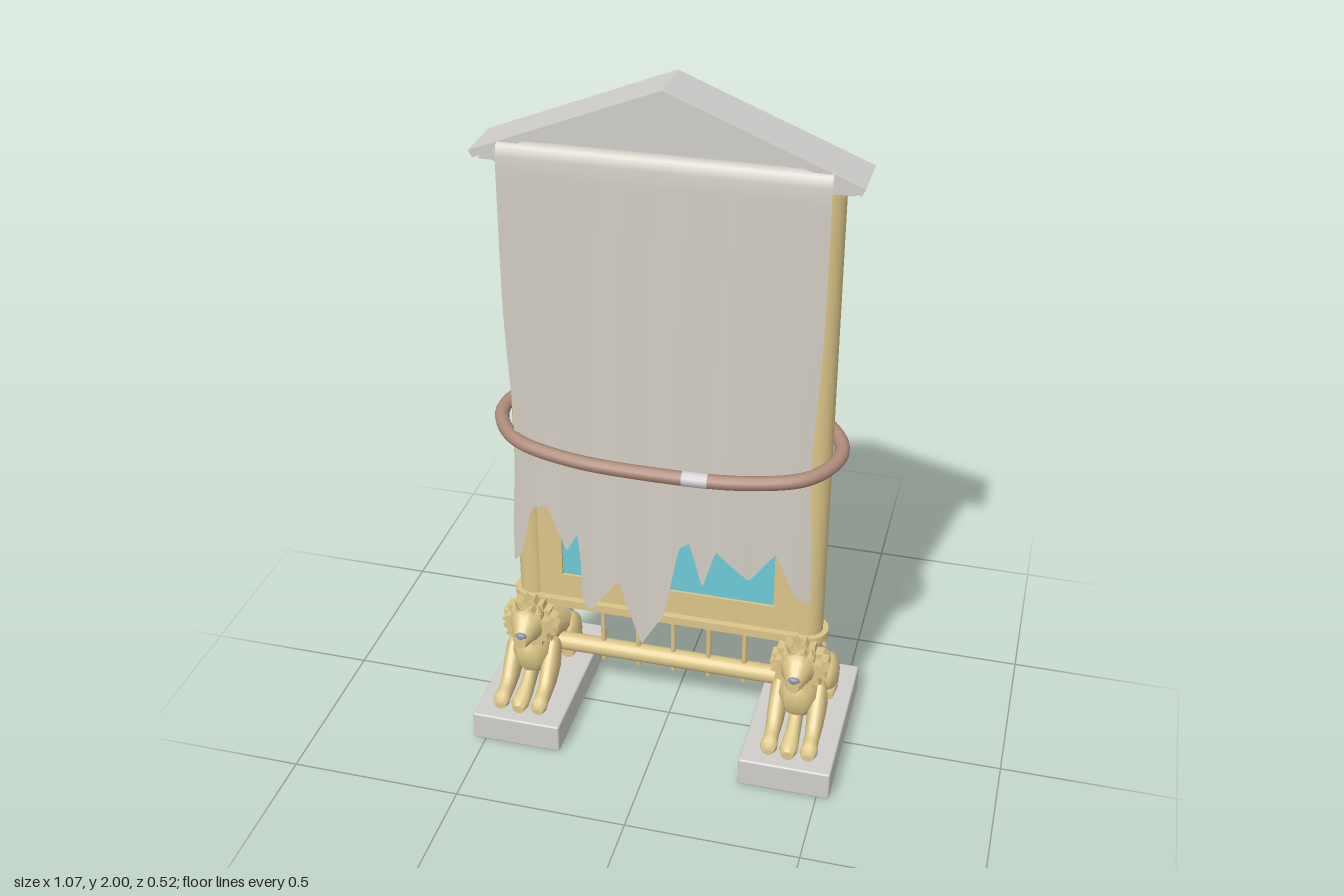
import * as THREE from 'three';
import { RoundedBoxGeometry } from 'three/addons/geometries/RoundedBoxGeometry.js';
import { toCreasedNormals } from 'three/addons/utils/BufferGeometryUtils.js';

const mat = (name, color, side = THREE.FrontSide) => {
  const m = new THREE.MeshStandardMaterial({ color, side });
  m.name = name;
  return m;
};

export function createModel() {
  const root = new THREE.Group();
  root.name = 'drapedMirror';
  const gold = mat('gold', 0xdbc587);
  const stone = mat('stone', 0xcfcecb);
  const linen = mat('linen', 0xd0cbc2, THREE.DoubleSide);
  const ropeBrown = mat('ropeBrown', 0xab8877);
  const glass = mat('glass', 0x6ccad6);
  const backing = mat('backing', 0x8a90a4);

  const add = (parent, name, geo, m, x = 0, y = 0, z = 0) => {
    const mesh = new THREE.Mesh(geo, m);
    mesh.name = name;
    mesh.position.set(x, y, z);
    parent.add(mesh);
    return mesh;
  };
  const box = (w, h, d) => new THREE.BoxGeometry(w, h, d);
  const cyl = (r, h, n = 20) => new THREE.CylinderGeometry(r, r, h, n);
  const poly = (pts) => new THREE.Shape(pts.map(p => new THREE.Vector2(...p)));
  const slab = (shape, z0, z1) =>
    new THREE.ExtrudeGeometry(shape, { depth: z1 - z0, bevelEnabled: false }).translate(0, 0, z0);

  // indexed surface from a grid of points
  const grid = (rows, cols, point) => {
    const pos = [], idx = [];
    for (let i = 0; i < rows; i++) for (let j = 0; j < cols; j++) pos.push(...point(i, j));
    for (let i = 0; i < rows - 1; i++) for (let j = 0; j < cols - 1; j++) {
      const a = i * cols + j, b = a + 1, c = b + cols, d = a + cols;
      idx.push(a, b, d, b, c, d);
    }
    const g = new THREE.BufferGeometry();
    g.setAttribute('position', new THREE.Float32BufferAttribute(pos, 3));
    g.setIndex(idx);
    g.computeVertexNormals();
    return g;
  };
  // elliptical sections [z, y, rx, ry] joined along z, closed to a point at both ends
  const loft = (sections, n = 14) => {
    const first = sections[0], last = sections[sections.length - 1];
    const s = [[first[0], first[1], 0, 0], ...sections, [last[0], last[1], 0, 0]];
    return toCreasedNormals(grid(s.length, n + 1, (i, j) => {
      const a = j / n * Math.PI * 2, [z, y, rx, ry] = s[i];
      return [rx * Math.cos(a), y + ry * Math.sin(a), z];
    }), 0.9);
  };

  // pediment: stepped chevron roof over a recessed triangle
  const roof = new THREE.Group();
  roof.name = 'pediment';
  root.add(roof);
  add(roof, 'roofSlab', slab(poly([[-0.51, 1.797], [-0.5, 1.778], [0, 1.978], [0.5, 1.778], [0.51, 1.797], [0, 2]]), -0.087, 0.072), stone);
  add(roof, 'roofMoulding', slab(poly([[-0.49, 1.782], [-0.46, 1.772], [0, 1.958], [0.46, 1.772], [0.49, 1.782], [0, 1.98]]), -0.078, 0.063), stone);
  add(roof, 'tympanum', slab(poly([[-0.46, 1.78], [0.46, 1.78], [0, 1.962]]), -0.05, 0.035), stone);

  // mirror frame with glass in front and backing behind
  const frame = poly([[-0.41, 0.38], [0.41, 0.38], [0.41, 1.78], [-0.41, 1.78]]);
  frame.holes.push(poly([[-0.315, 0.48], [-0.315, 1.68], [0.315, 1.68], [0.315, 0.48]]));
  add(root, 'frame', slab(frame, -0.035, 0.03), gold);
  add(root, 'glass', box(0.64, 1.21, 0.008), glass, 0, 1.08, 0.018);
  add(root, 'backing', box(0.64, 1.21, 0.008), backing, 0, 1.08, -0.024);
  add(root, 'ledge', box(0.84, 0.02, 0.11), gold, 0, 0.392, -0.005);
  add(root, 'ledgeMoulding', box(0.82, 0.014, 0.09), gold, 0, 0.376, -0.005);

  // lower rail with spindles
  const rail = add(root, 'rail', cyl(0.028, 0.72), gold, 0, 0.172, -0.05);
  rail.rotation.z = Math.PI / 2;
  for (let i = -2; i <= 2; i++) add(root, 'spindle', cyl(0.008, 0.2, 8), gold, i * 0.109, 0.228, -0.05);

  // spiked outline for the mane
  const mane = (r0, r1, n) => {
    const pts = [];
    for (let i = 0; i < n * 2; i++) {
      const a = i / n * Math.PI, r = i % 2 ? r0 : r1;
      pts.push([r * Math.cos(a), 0.325 + r * Math.sin(a)]);
    }
    return poly(pts);
  };

  const makeLion = () => {
    const lion = new THREE.Group();
    lion.name = 'lion';
    add(lion, 'rump', loft([[-0.195, 0.17, 0.03, 0.025], [-0.18, 0.165, 0.062, 0.05],
      [-0.13, 0.178, 0.077, 0.068]]), stone);
    add(lion, 'body', loft([[-0.135, 0.177, 0.075, 0.066], [-0.09, 0.2, 0.066, 0.062], [-0.04, 0.222, 0.056, 0.05],
      [0.01, 0.223, 0.054, 0.05], [0.05, 0.225, 0.06, 0.075], [0.09, 0.22, 0.055, 0.075], [0.12, 0.22, 0.03, 0.045]]), gold);
    // neck and head
    add(lion, 'head', loft([[0.02, 0.3, 0.03, 0.04], [0.06, 0.32, 0.06, 0.065], [0.11, 0.335, 0.05, 0.055],
      [0.132, 0.33, 0.036, 0.045], [0.15, 0.32, 0.027, 0.033], [0.17, 0.315, 0.017, 0.022]]), gold);
    add(lion, 'maneBack', slab(mane(0.07, 0.086, 18), 0.05, 0.085), gold);
    add(lion, 'maneFront', slab(mane(0.06, 0.073, 14), 0.085, 0.112), gold);
    add(lion, 'nose', new THREE.SphereGeometry(0.016, 10, 8).scale(1.1, 0.7, 0.6), backing, 0, 0.334, 0.163);
    // forelegs stretched forward, hind legs folded
    for (const s of [-1, 1]) {
      add(lion, 'foreleg', loft([[0.02, 0.2, 0.018, 0.04], [0.06, 0.19, 0.028, 0.065], [0.1, 0.155, 0.026, 0.06],
        [0.14, 0.125, 0.022, 0.034], [0.175, 0.116, 0.022, 0.025], [0.2, 0.114, 0.026, 0.023], [0.215, 0.106, 0.017, 0.014]]), gold, s * 0.058);
      add(lion, 'haunch', new THREE.SphereGeometry(1, 14, 10).scale(0.032, 0.062, 0.058), gold, s * 0.058, 0.155, -0.125);
      add(lion, 'hindPaw', loft([[-0.17, 0.11, 0.02, 0.02], [-0.12, 0.112, 0.027, 0.022], [-0.07, 0.107, 0.02, 0.016]]), gold, s * 0.062);
      add(lion, 'ear', new THREE.ConeGeometry(0.014, 0.035, 6), gold, s * 0.036, 0.392, 0.1);
    }
    add(lion, 'middlePaw', loft([[0.07, 0.16, 0.02, 0.05], [0.14, 0.12, 0.022, 0.03], [0.2, 0.113, 0.027, 0.022],
      [0.222, 0.106, 0.017, 0.014]]), gold);
    // curled tail
    const tail = [];
    for (let i = 0; i <= 10; i++) {
      const a = -2.6 + i * 0.52;
      tail.push(new THREE.Vector3(0.01 + 0.002 * i, 0.138 + 0.036 * Math.sin(a), -0.215 - 0.036 * Math.cos(a)));
    }
    add(lion, 'tail', new THREE.TubeGeometry(new THREE.CatmullRomCurve3(tail), 24, 0.009, 8), gold);
    return lion;
  };

  // both sides: plinth, lion, column and capital
  for (const s of [-1, 1]) {
    add(root, 'plinth', new RoundedBoxGeometry(0.267, 0.09, 0.51, 2, 0.006), stone, s * 0.403, 0.045, 0);
    const lion = makeLion();
    lion.position.x = s * 0.405;
    if (s < 0) lion.children.find(c => c.name === 'tail').rotation.y = 0.12;
    root.add(lion);
    add(root, 'column', cyl(0.044, 1.56, 24), gold, s * 0.411, 1.0, -0.005);
    add(root, 'columnRing', cyl(0.06, 0.022, 24), gold, s * 0.411, 0.392, -0.005);
    add(root, 'capitalNeck', cyl(0.058, 0.02, 24), gold, s * 0.411, 1.765, -0.005);
    add(root, 'capital', box(0.13, 0.022, 0.145), stone, s * 0.42, 1.785, -0.007);
  }

  // torn cloth: jagged hem [x, y], hanging from the pediment
  const hemAt = (hem, x) => {
    let k = 0;
    while (k < hem.length - 2 && x > hem[k + 1][0]) k++;
    const [a, b] = [hem[k], hem[k + 1]];
    return THREE.MathUtils.lerp(a[1], b[1], THREE.MathUtils.clamp((x - a[0]) / (b[0] - a[0]), 0, 1));
  };
  const cloth = (hem, dir, zTop, zEdge, bulge) => {
    const rows = 30, cols = 109;
    return grid(cols, rows, (i, j) => {
      const x = dir * (-0.432 + 0.008 * i);
      const roll = [[1.822, 0.035], [1.832, zTop - 0.02], [1.822, zTop - 0.004], [1.795, zTop + 0.005]];
      if (j < 4) return [x, roll[j][0], dir * roll[j][1]];
      const t = (j - 3) / (rows - 4), y = THREE.MathUtils.lerp(1.795, hemAt(hem, x), t);
      const drop = (1.795 - y) / 1.5, across = 1 - (x / 0.432) ** 2;
      const z = zTop + 0.005 + (zEdge - zTop) * drop + bulge * across * drop + 0.004 * drop * Math.sin(x * 38);
      const pinch = 1 - 0.04 * Math.exp(-(((y - 1) / 0.25) ** 2));
      return [x * pinch, y, dir * z];
    });
  };
  const frontHem = [[-0.432, 0.565], [-0.41, 0.585], [-0.38, 0.75], [-0.33, 0.77], [-0.27, 0.63], [-0.235, 0.7],
    [-0.225, 0.46], [-0.2, 0.44], [-0.115, 0.56], [-0.05, 0.35], [0.02, 0.47], [0.06, 0.7], [0.09, 0.72],
    [0.127, 0.575], [0.165, 0.705], [0.26, 0.62], [0.335, 0.72], [0.39, 0.585], [0.432, 0.56]];
  const backHem = [[-0.432, 0.95], [-0.33, 0.76], [-0.28, 0.57], [-0.24, 0.58], [-0.17, 0.42], [-0.1, 0.47],
    [0.02, 0.28], [0.12, 0.47], [0.2, 0.345], [0.27, 0.46], [0.33, 0.55], [0.38, 0.45], [0.432, 0.57]];
  add(root, 'frontCloth', cloth(frontHem, 1, 0.085, 0.105, 0.025), linen);
  add(root, 'backCloth', cloth(backHem, -1, 0.1, 0.12, 0.05), linen);

  // tilted rope loop with pale worn patches
  const ring = [[0, 0.172], [0.25, 0.158], [0.41, 0.11], [0.475, 0.03], [0.475, -0.03], [0.41, -0.11], [0.25, -0.158],
    [0, -0.175], [-0.25, -0.158], [-0.41, -0.11], [-0.475, -0.03], [-0.475, 0.03], [-0.41, 0.11], [-0.25, 0.158]];
  const loop = new THREE.CatmullRomCurve3(ring.map(([x, z]) => new THREE.Vector3(x, 1.003 - 0.23 * z, z)), true);
  add(root, 'rope', new THREE.TubeGeometry(loop, 120, 0.02, 12, true), ropeBrown);
  for (const [x, z] of [[0.115, 0.1695], [0.05, -0.1745]]) {
    const patch = add(root, 'ropePatch', cyl(0.0212, 0.07, 12), stone, x, 1.003 - 0.23 * z, z);
    patch.rotation.set(0, Math.sign(z) * 0.04, Math.PI / 2);
  }
  return root;
}
